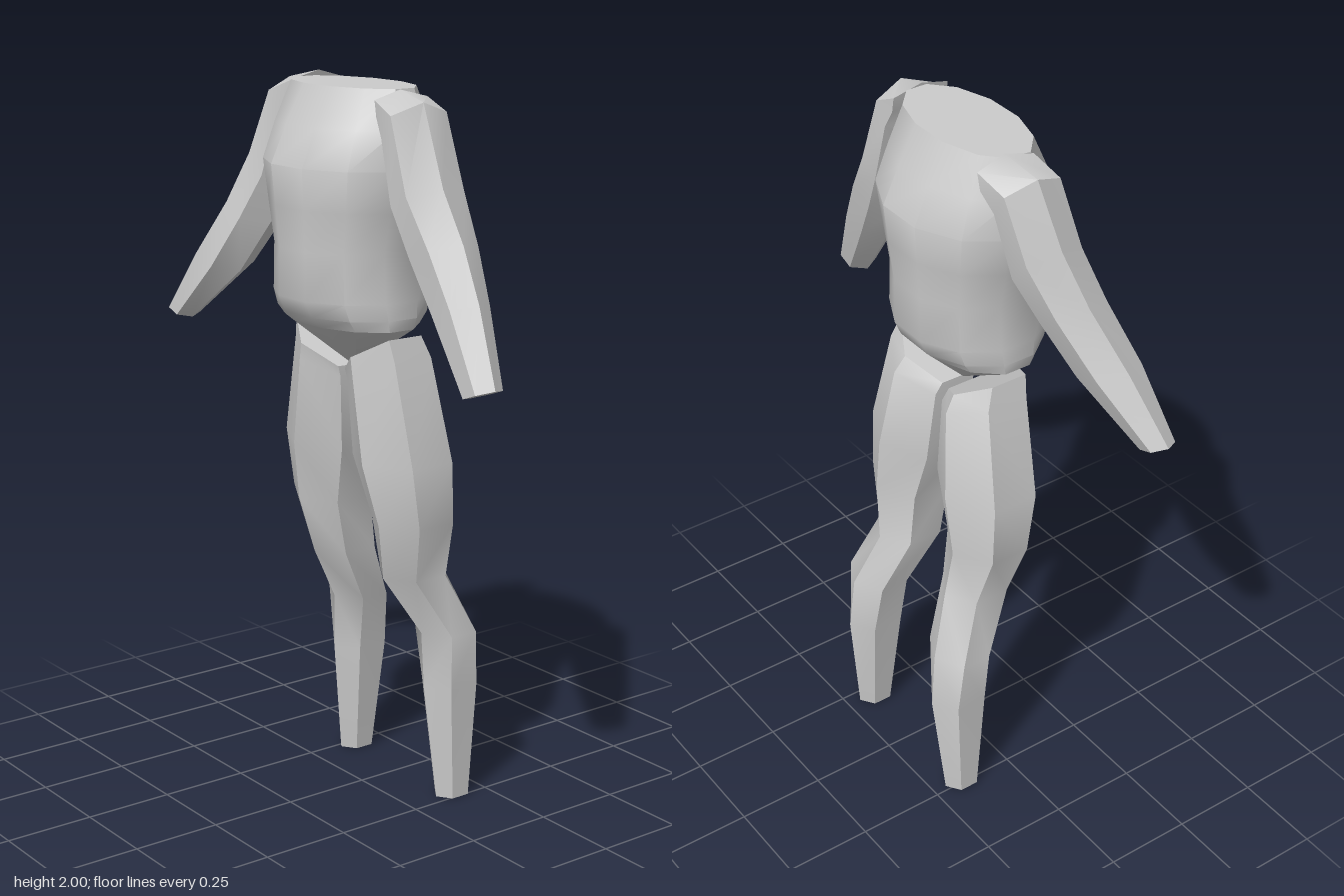
import * as THREE from 'three';
import { toCreasedNormals } from 'three/addons/utils/BufferGeometryUtils.js';

const material = new THREE.MeshStandardMaterial({ color: 0xcccccc });

// Skins a list of closed rings, caps both ends and keeps hard edges sharp.
function loft(name, rings) {
  const n = rings[0].length;
  const tris = [];
  for (let r = 0; r + 1 < rings.length; r++) {
    for (let i = 0; i < n; i++) {
      const j = (i + 1) % n;
      const [a, b, c, d] = [rings[r][i], rings[r][j], rings[r + 1][j], rings[r + 1][i]];
      tris.push([a, b, c], [a, c, d]);
    }
  }
  const cap = (ring, flip) => {
    const mid = ring.reduce((s, p) => s.add(p), new THREE.Vector3()).divideScalar(n);
    ring.forEach((p, i) => {
      const q = ring[(i + 1) % n];
      tris.push(flip ? [mid, q, p] : [mid, p, q]);
    });
  };
  cap(rings[0], true);
  cap(rings[rings.length - 1], false);

  // Turn the surface outward whichever way the rings run
  const volume = tris.reduce((s, [a, b, c]) => s + a.dot(b.clone().cross(c)), 0);
  const points = tris
    .filter(([a, b, c]) => b.clone().sub(a).cross(c.clone().sub(a)).length() > 1e-8)
    .flatMap(([a, b, c]) => (volume < 0 ? [a, c, b] : [a, b, c]));
  const geometry = toCreasedNormals(new THREE.BufferGeometry().setFromPoints(points), 0.65);
  const mesh = new THREE.Mesh(geometry, material);
  mesh.name = name;
  return mesh;
}

// Ring around two opposite points [x, y], spread from z0 to z1.
// vertexOnZ puts corners at the z extremes, otherwise at the two points.
function ring(sides, [ax, ay], [bx, by], z0, z1, vertexOnZ) {
  const start = vertexOnZ ? Math.PI / 2 : 0;
  const angles = Array.from({ length: sides }, (_, i) => start + (i * 2 * Math.PI) / sides);
  const maxC = Math.max(...angles.map(Math.cos));
  const maxS = Math.max(...angles.map(Math.sin));
  return angles.map((t) => {
    const c = Math.cos(t) / maxC / 2;
    const s = Math.sin(t) / maxS / 2;
    return new THREE.Vector3(
      (ax + bx) / 2 + c * (ax - bx),
      (ay + by) / 2 + c * (ay - by),
      (z0 + z1) / 2 + s * (z1 - z0),
    );
  });
}

// Twelve-sided torso ring with flats at front, back and sides
function torsoRing(y, halfWidth, z0, z1) {
  const k = Math.cos(Math.PI / 12);
  return Array.from({ length: 12 }, (_, i) => {
    const t = ((i + 0.5) * Math.PI) / 6;
    return new THREE.Vector3(
      (Math.cos(t) * halfWidth) / k,
      y,
      (z0 + z1) / 2 + (Math.sin(t) * (z1 - z0)) / 2 / k,
    );
  });
}

export function createModel() {
  const model = new THREE.Group();
  model.name = 'figure';

  // Torso, from neck opening to hips
  const hips = [1.355, 0.22, -0.11, 0.18];
  model.add(loft('torso', [
    [1.985, 0.222, -0.085, 0.145],
    [1.88, 0.245, -0.135, 0.2],
    [1.78, 0.26, -0.18, 0.245],
    [1.67, 0.238, -0.17, 0.237],
    [1.56, 0.213, -0.16, 0.23],
    [1.43, 0.22, -0.16, 0.23],
    [1.385, 0.224, -0.14, 0.21],
    hips,
  ].map((r) => torsoRing(...r))));

  // Pelvis, tapering to a point between the legs
  model.add(loft('pelvis', [torsoRing(...hips), torsoRing(1.22, 0.001, 0.019, 0.021)]));

  // Legs: outer [x, y], inner [x, y], back z, front z
  const legRings = [
    [[0.21, 1.33], [0.015, 1.22], -0.1, 0.115],
    [[0.225, 1.27], [0.015, 1.19], -0.13, 0.115],
    [[0.29, 0.99], [0.025, 0.98], -0.16, 0.11],
    [[0.29, 0.82], [0.08, 0.81], -0.155, 0.075],
    [[0.24, 0.655], [0.08, 0.655], -0.165, 0.04],
    [[0.285, 0.49], [0.12, 0.49], -0.23, -0.06],
    [[0.275, 0.33], [0.145, 0.33], -0.245, -0.065],
    [[0.265, 0], [0.185, 0], -0.21, -0.1],
  ];
  for (const [name, side] of [['leftLeg', 1], ['rightLeg', -1]]) {
    const place = ([x, y]) => [side * x - 0.01, y];
    model.add(loft(name, legRings.map(([outer, inner, z0, z1]) =>
      ring(6, place(outer), place(inner), z0, z1, true))));
  }

  // Arms, from shoulder to wrist; the right one swings further forward
  const arms = {
    leftArm: [
      [[0.235, 1.985], [0.25, 1.9], -0.03, 0.14],
      [[0.33, 1.96], [0.255, 1.84], -0.035, 0.145],
      [[0.41, 1.75], [0.285, 1.69], -0.04, 0.148],
      [[0.5, 1.62], [0.345, 1.565], -0.02, 0.14],
      [[0.57, 1.48], [0.42, 1.445], 0.0, 0.13],
      [[0.665, 1.285], [0.57, 1.25], 0.045, 0.135],
    ],
    rightArm: [
      [[-0.215, 2.0], [-0.24, 1.91], -0.1, 0.07],
      [[-0.33, 1.975], [-0.25, 1.85], -0.085, 0.085],
      [[-0.4, 1.8], [-0.285, 1.68], -0.06, 0.11],
      [[-0.46, 1.65], [-0.335, 1.57], -0.01, 0.15],
      [[-0.56, 1.49], [-0.405, 1.435], 0.05, 0.195],
      [[-0.67, 1.31], [-0.585, 1.28], 0.13, 0.21],
    ],
  };
  for (const [name, rings] of Object.entries(arms)) {
    model.add(loft(name, rings.map((r) => ring(6, ...r, false))));
  }

  return model;
}
